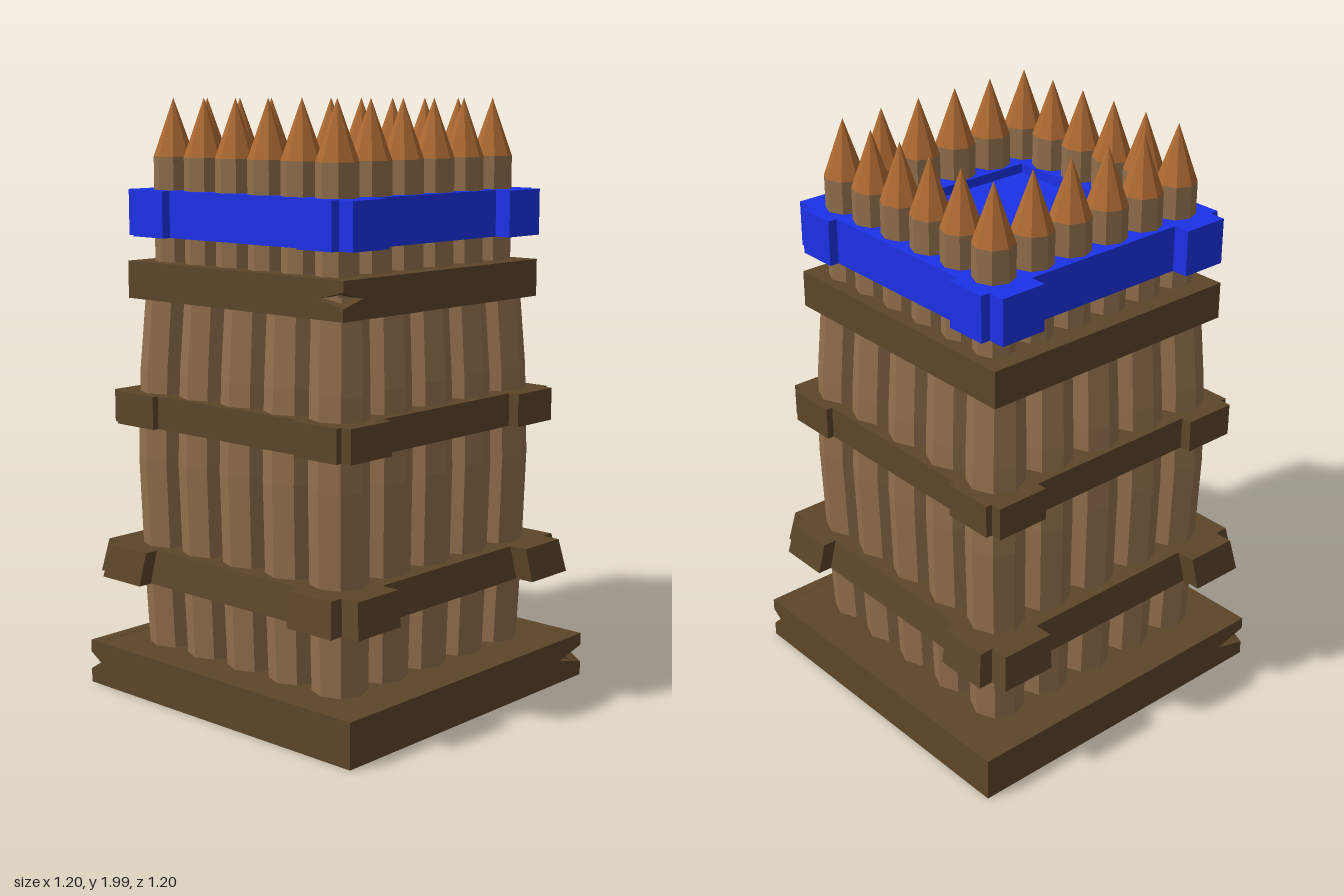
import * as THREE from 'three';

const mat = (name, color, side = THREE.FrontSide) =>
  Object.assign(new THREE.MeshStandardMaterial({ color, side }), { name });

export function createModel() {
  const root = new THREE.Group();
  root.name = 'palisadeTower';
  const postWood = mat('postWood', 0x92704d, THREE.DoubleSide);
  const darkWood = mat('darkWood', 0x5d4629);
  const cutWood = mat('cutWood', 0xae6a32);
  const blue = mat('bluePaint', 0x1c32ea);

  const add = (name, geometry, material, parent = root) => {
    const flat = geometry.index ? geometry.toNonIndexed() : geometry;
    flat.computeVertexNormals();
    const mesh = new THREE.Mesh(flat, material);
    mesh.name = name;
    parent.add(mesh);
    return mesh;
  };

  // Posts: rings of [height, radius, half spread in x, half spread in z]
  const trunk = [
    [0.02, 0.088, 0.378, 0.383], [0.4, 0.093, 0.386, 0.395],
    [0.8, 0.096, 0.392, 0.404], [1.1, 0.094, 0.388, 0.396], [1.4, 0.088, 0.375, 0.38],
  ];
  const stake = [[1.36, 0.067, 0.363, 0.38], [1.8, 0.067, 0.363, 0.38]];
  const tip = [[1.8, 0.067, 0.363, 0.38], [1.99, 0, 0.363, 0.38]];
  const spike = (rings, u, v) => {
    const g = new THREE.LatheGeometry(rings.map(([y, r]) => new THREE.Vector2(r, y)), 8);
    const p = g.attributes.position;
    for (let i = 0; i < p.count; i++) {
      const [, , hx, hz] = rings[i % rings.length];
      p.setX(i, p.getX(i) + u * hx - 0.005);
      p.setZ(i, p.getZ(i) + v * hz + 0.012);
    }
    return g;
  };
  // Visits n places along each side of a square
  const around = (n, place) => {
    for (let i = 0; i < n; i++) {
      for (let j = 0; j < n; j++) {
        if (i % (n - 1) && j % (n - 1)) continue;
        place(2 * i / (n - 1) - 1, 2 * j / (n - 1) - 1);
      }
    }
  };
  const posts = new THREE.Group();
  posts.name = 'posts';
  root.add(posts);
  around(5, (u, v) => add('wallPost', spike(trunk, u, v), postWood, posts));
  around(6, (u, v) => {
    add('stake', spike(stake, u, v), postWood, posts);
    add('stakeTip', spike(tip, u, v), cutWood, posts);
  });

  // Hoops: a square ring with overlapping beam ends at the corners
  const hoop = (name, material, { y, h, ax, az, bx, bz, s, hx, hz, taper = 1, cx, cz }) => {
    const corner = [[ax, s], [bx, s], [bx, az], [ax, az], [ax, bz], [s, bz], [s, az]];
    const pts = [[1, 1], [-1, 1], [-1, -1], [1, -1]].flatMap(([sx, sz]) => {
      const q = corner.map(([x, z]) => new THREE.Vector2(x * sx, z * sz));
      return sx * sz < 0 ? q.reverse() : q;
    });
    const shape = new THREE.Shape(pts);
    shape.holes.push(new THREE.Path([[-hx, -hz], [-hx, hz], [hx, hz], [hx, -hz]]
      .map(([x, z]) => new THREE.Vector2(x, z))));
    const g = new THREE.ExtrudeGeometry(shape, { depth: h, bevelEnabled: false });
    g.rotateX(-Math.PI / 2);
    const p = g.attributes.position;
    for (let i = 0; i < p.count; i++) {
      if (p.getY(i) > h / 2) p.setXYZ(i, p.getX(i) * taper, p.getY(i), p.getZ(i) * taper);
    }
    add(name, g, material).position.set(cx, y, cz);
  };
  hoop('lowerHoop', darkWood, {
    y: 0.387, h: 0.112, ax: 0.525, az: 0.535, bx: 0.592, bz: 0.585, s: 0.34,
    hx: 0.36, hz: 0.36, taper: 0.965, cx: -0.006, cz: 0.012,
  });
  hoop('middleHoop', darkWood, {
    y: 0.912, h: 0.11, ax: 0.497, az: 0.507, bx: 0.535, bz: 0.53, s: 0.32,
    hx: 0.36, hz: 0.36, cx: -0.005, cz: 0.013,
  });
  hoop('blueParapet', blue, {
    y: 1.54, h: 0.152, ax: 0.443, az: 0.4625, bx: 0.5, bz: 0.495, s: 0.3,
    hx: 0.29, hz: 0.31, cx: -0.005, cz: 0.01,
  });
  add('blueDeck', new THREE.BoxGeometry(0.6, 0.06, 0.64), blue).position.set(-0.005, 1.63, 0.01);

  // Beam frames: four beams, with a V split at the marked corners;
  // a wedge beam thins to nothing along its lower edge
  const frame = (name, { y, h, half, t, splits, right, left, wedge = false, cx = 0, cz = 0 }) => {
    const group = new THREE.Group();
    group.name = name;
    group.position.set(cx, y, cz);
    root.add(group);
    for (let k = 0; k < 4; k++) {
      const pts = [[-half, 0], [half, 0]];
      if (splits[k]) pts.push([half, h * 0.32], [half - right, h * 0.52], [half, h * 0.72]);
      pts.push([half, h], [-half, h]);
      if (splits[(k + 3) % 4]) pts.push([-half, h * 0.72], [-half + left, h * 0.52], [-half, h * 0.32]);
      const shape = new THREE.Shape(pts.map(([a, b]) => new THREE.Vector2(a, b)));
      const g = new THREE.ExtrudeGeometry(shape, { depth: t, bevelEnabled: false });
      g.translate(0, 0, half - t);
      const p = g.attributes.position;
      for (let i = 0; wedge && i < p.count; i++) {
        if (p.getY(i) < 0.001) p.setZ(i, half);
      }
      g.rotateY(k * Math.PI / 2);
      add(name + 'Beam', g, darkWood, group);
    }
  };
  frame('base', {
    y: 0, h: 0.15, half: 0.6, t: 0.04, splits: [0, 1, 0, 1], right: 0.12, left: 0.05, wedge: true,
  });
  frame('topFrame', {
    y: 1.333, h: 0.124, half: 0.482, t: 0.13, splits: [1, 0, 0, 0], right: 0.1, left: 0.09,
    cx: -0.005, cz: 0.014,
  });

  // Floor closing the base above the post feet
  add('baseFloor', new THREE.BoxGeometry(1.17, 0.03, 1.17), darkWood).position.y = 0.134;
  return root;
}
